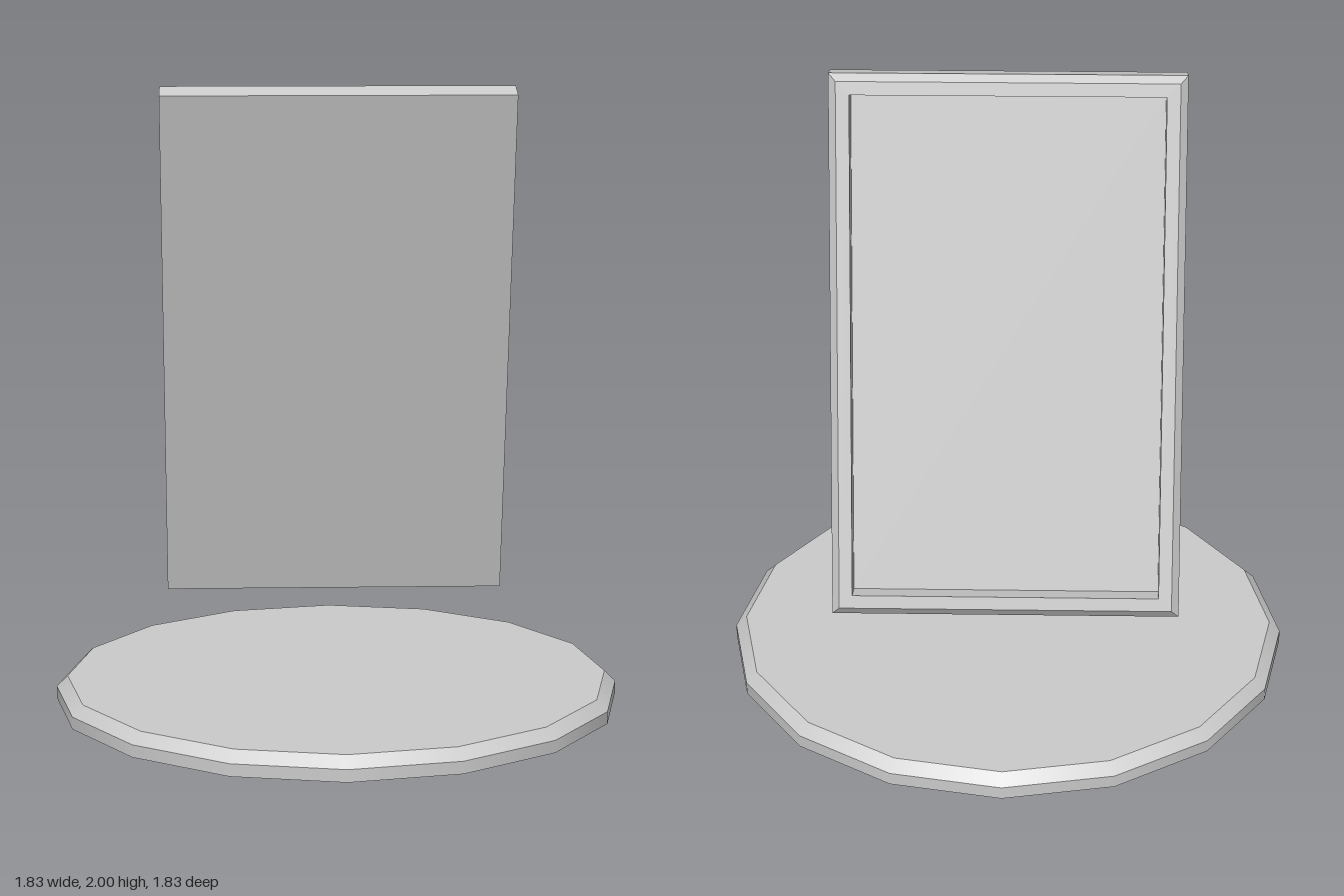
import * as THREE from 'three';

const material = new THREE.MeshStandardMaterial({ color: 0xcccccc });

function addMesh(parent, name, geometry, y = 0) {
  const mesh = new THREE.Mesh(geometry, material);
  mesh.name = name;
  mesh.position.y = y;
  parent.add(mesh);
  return mesh;
}

// Joins rectangular sections [halfWidth, halfHeight, z] into a closed, flat-faced skin.
function rectangularSkin(sections) {
  const rings = sections.map(([w, h, z]) => [[w, h, z], [-w, h, z], [-w, -h, z], [w, -h, z]]);
  const positions = [];
  const quad = (a, b, c, d) => positions.push(...a, ...b, ...c, ...a, ...c, ...d);
  quad(...rings[0]);
  for (let i = 0; i < rings.length - 1; i++) {
    const a = rings[i], b = rings[i + 1];
    for (let k = 0; k < 4; k++) {
      const n = (k + 1) % 4;
      quad(a[k], b[k], b[n], a[n]);
    }
  }
  quad(...rings[rings.length - 1].slice().reverse());
  const geometry = new THREE.BufferGeometry();
  geometry.setAttribute('position', new THREE.Float32BufferAttribute(positions, 3));
  geometry.computeVertexNormals();
  return geometry;
}

export function createModel() {
  const model = new THREE.Group();
  model.name = 'tiltedPanelOnBase';

  // Sixteen-sided base disc with a bevelled upper rim
  const base = new THREE.Group();
  base.name = 'base';
  model.add(base);
  const sides = 16, radius = 0.916, topRadius = 0.88, rimY = 0.04, topY = 0.075;
  addMesh(base, 'baseSide',
    new THREE.CylinderGeometry(radius, radius, rimY, sides, 1, true), rimY / 2);
  addMesh(base, 'baseBevel',
    new THREE.CylinderGeometry(topRadius, radius, topY - rimY, sides, 1, true), (rimY + topY) / 2);
  // Circle corners are turned to meet the cylinder corners
  addMesh(base, 'baseTop', new THREE.CircleGeometry(topRadius, sides).rotateX(-Math.PI / 2), topY);
  addMesh(base, 'baseBottom', new THREE.CircleGeometry(radius, sides).rotateX(Math.PI / 2));

  // Floating panel leaning forward: plain front, bevelled back rim, recessed back
  const panel = addMesh(model, 'panel', rectangularSkin([
    [0.557, 0.871, 0],
    [0.557, 0.871, -0.09],
    [0.533, 0.847, -0.114],
    [0.491, 0.805, -0.114],
    [0.491, 0.805, -0.034],
  ]), 1.136);
  panel.position.z = -0.045;
  panel.rotation.x = THREE.MathUtils.degToRad(15);

  return model;
}
